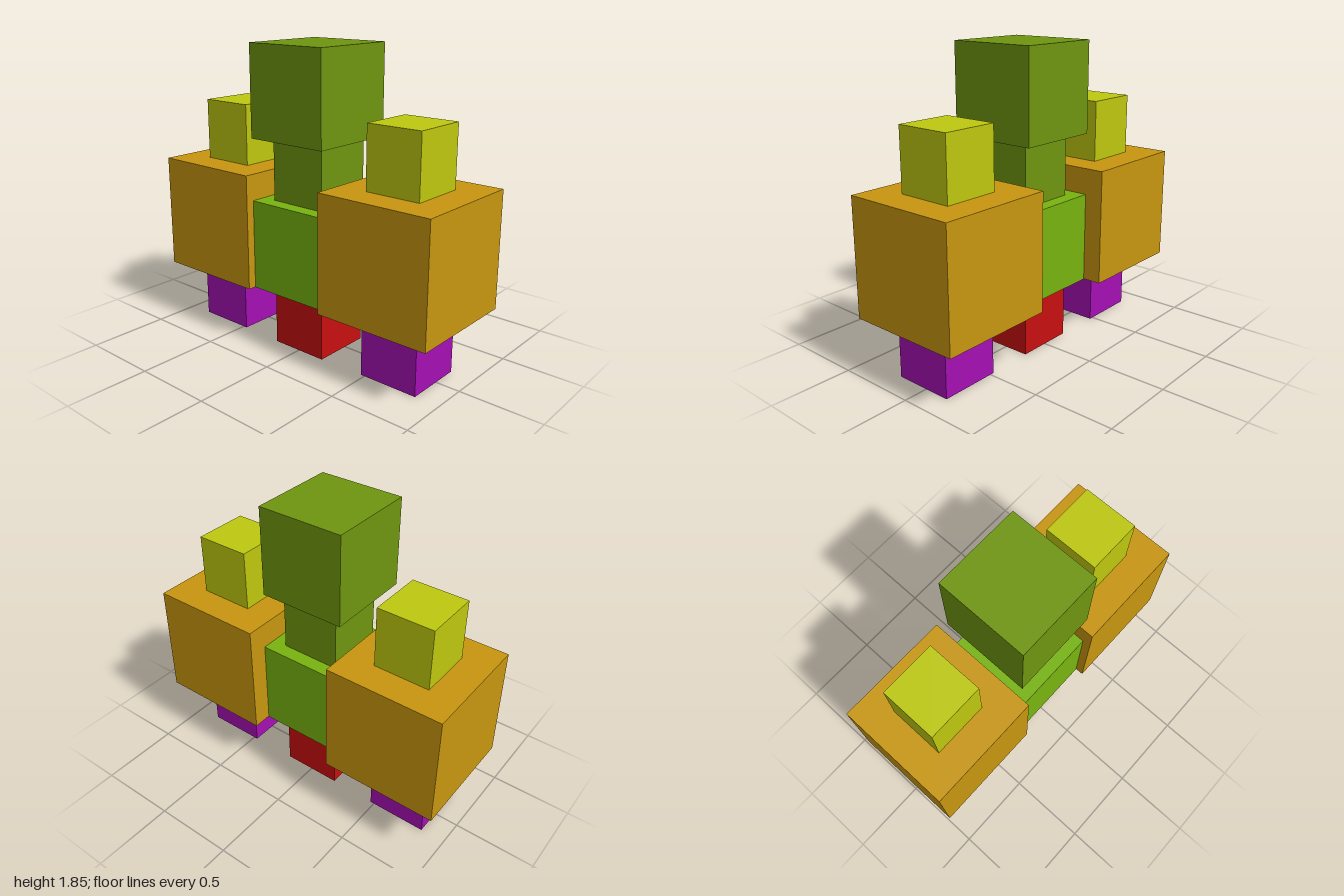
import * as THREE from 'three';

const material = (name, color) => {
  const m = new THREE.MeshStandardMaterial({ color });
  m.name = name;
  return m;
};

export function createModel() {
  const model = new THREE.Group();
  model.name = 'blockFigure';

  const darkGreen = material('dark green', 0x6f960f);
  const lightGreen = material('light green', 0x78b40f);
  const orange = material('orange', 0xc8960f);
  const yellow = material('yellow', 0xbec80f);
  const purple = material('purple', 0xa50fb4);
  const red = material('red', 0xc80f0f);

  // Box given by its extents on each axis
  const block = (name, mat, [x0, x1], [y0, y1], [z0, z1]) => {
    const mesh = new THREE.Mesh(new THREE.BoxGeometry(x1 - x0, y1 - y0, z1 - z0), mat);
    mesh.position.set((x0 + x1) / 2, (y0 + y1) / 2, (z0 + z1) / 2);
    mesh.name = name;
    model.add(mesh);
  };

  // Central stack
  block('base', red, [-0.187, 0.185], [0, 0.33], [-0.157, 0.22]);
  block('waist', darkGreen, [-0.187, 0.185], [0.33, 0.37], [-0.157, 0.22]);
  block('torso', lightGreen, [-0.278, 0.275], [0.37, 0.923], [-0.245, 0.31]);
  block('neck', darkGreen, [-0.187, 0.185], [0.923, 1.3], [-0.157, 0.22]);
  block('head', darkGreen, [-0.278, 0.26], [1.3, 1.85], [-0.245, 0.31]);

  // Mirrored side stacks
  for (const [side, s] of [['left', 1], ['right', -1]]) {
    const span = (a, b) => (s > 0 ? [a, b] : [-b, -a]);
    block(side + 'Foot', purple, span(0.475, 0.848), [0, 0.372], [-0.162, 0.21]);
    block(side + 'Shoulder', orange, span(0.276, 1), [0.372, 1.085], [-0.362, 0.362]);
    block(side + 'ShoulderTop', yellow, span(0.462, 0.81), [1.085, 1.462], [-0.175, 0.175]);
  }

  return model;
}
